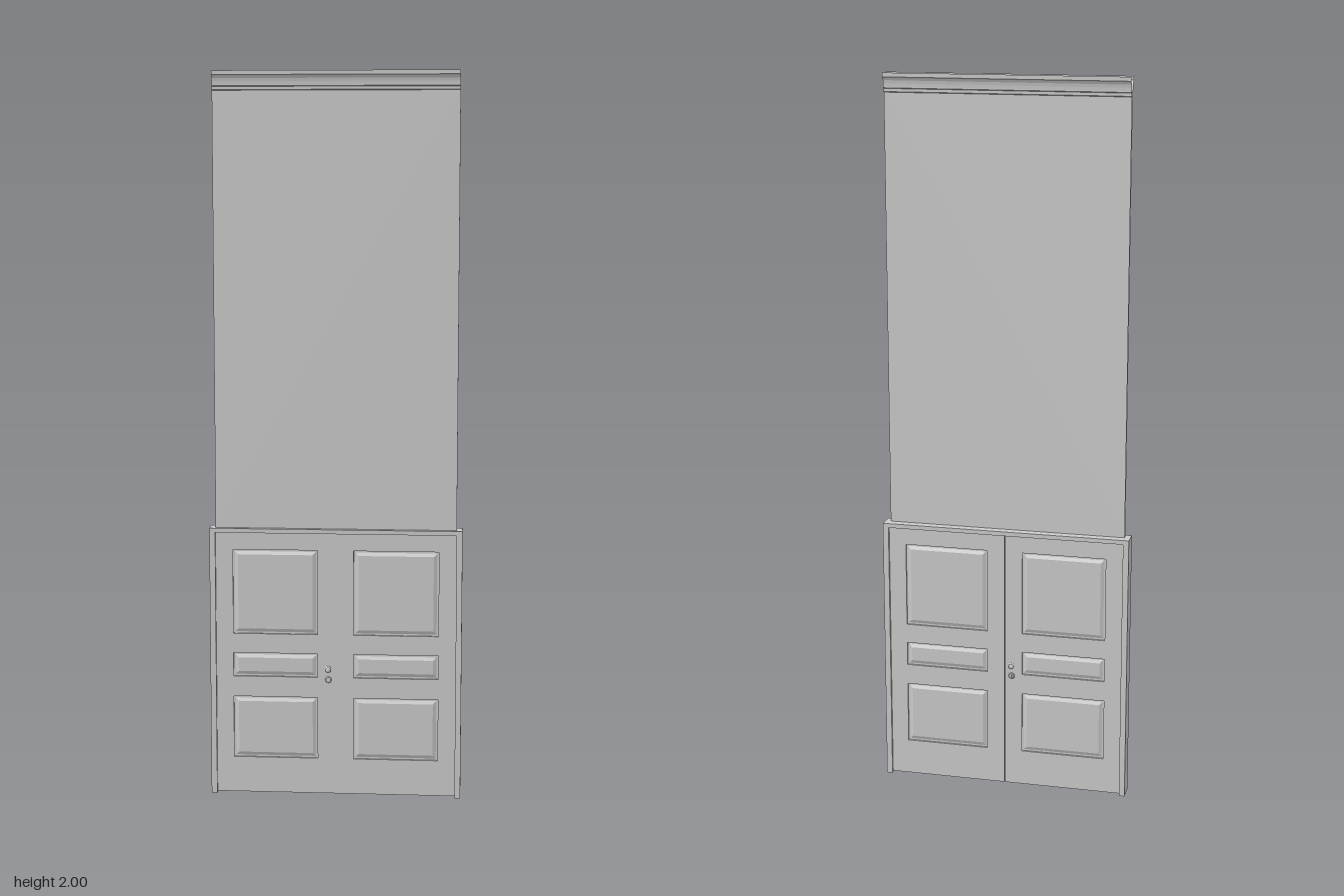
import * as THREE from 'three';

const grey = new THREE.MeshStandardMaterial({ color: 0xcccccc });
const thin = new THREE.MeshStandardMaterial({ color: 0xcccccc, side: THREE.DoubleSide, flatShading: true });

const Z_BACK = -0.0265, Z_FRONT = 0.023;      // frame depth
const DOOR_BACK = -0.019, DOOR_FRONT = 0.015; // leaf depth
const OPEN_X = 0.333, OPEN_Y = 0.746;         // door opening

function add(parent, name, geometry, material = grey) {
  const mesh = new THREE.Mesh(geometry, material);
  mesh.name = name;
  parent.add(mesh);
  return mesh;
}

function rectangle(Type, x0, y0, x1, y1) {
  const r = new Type();
  r.moveTo(x0, y0);
  r.lineTo(x1, y0);
  r.lineTo(x1, y1);
  r.lineTo(x0, y1);
  r.closePath();
  return r;
}

// Surround: two jambs and a header in one extrusion
function frame() {
  const s = new THREE.Shape();
  [[-0.349, 0], [-OPEN_X, 0], [-OPEN_X, OPEN_Y], [OPEN_X, OPEN_Y], [OPEN_X, 0],
    [0.349, 0], [0.349, 0.758], [-0.349, 0.758]].forEach(([x, y], i) => (i ? s.lineTo(x, y) : s.moveTo(x, y)));
  const g = new THREE.ExtrudeGeometry(s, { depth: Z_FRONT - Z_BACK, bevelEnabled: false });
  return g.translate(0, 0, Z_BACK);
}

// Open sheet swept across x from a [z, y] profile
function sheet(profile) {
  const pos = [], index = [];
  profile.forEach(([z, y], i) => {
    pos.push(-OPEN_X, y, z, OPEN_X, y, z);
    if (i) {
      const a = 2 * i - 2;
      index.push(a, a + 1, a + 3, a, a + 3, a + 2);
    }
  });
  const g = new THREE.BufferGeometry();
  g.setAttribute('position', new THREE.Float32BufferAttribute(pos, 3));
  g.setIndex(index);
  g.computeVertexNormals();
  return g;
}

// One leaf: stiles and rails around three raised panels
function leaf(side) {
  const group = new THREE.Group();
  const rows = [[0.105, 0.28], [0.338, 0.405], [0.46, 0.698]];
  const xa = side > 0 ? 0.05 : -0.285, xb = xa + 0.235;
  const inner = 0.001 * side, outer = OPEN_X * side;
  const s = rectangle(THREE.Shape, Math.min(inner, outer), 0.004, Math.max(inner, outer), OPEN_Y);
  rows.forEach(([y0, y1]) => s.holes.push(rectangle(THREE.Path, xa, y0, xb, y1)));
  const body = new THREE.ExtrudeGeometry(s, { depth: DOOR_FRONT - DOOR_BACK, bevelEnabled: false });
  add(group, 'stilesAndRails', body.translate(0, 0, DOOR_BACK));

  const mid = (DOOR_FRONT + DOOR_BACK) / 2;
  rows.forEach(([y0, y1]) => {
    const base = new THREE.BoxGeometry(xb - xa, y1 - y0, 0.024);
    add(group, 'panelBase', base.translate((xa + xb) / 2, (y0 + y1) / 2, mid));
    // Raised field with sloping edges on both faces
    const m = 0.014;
    const field = new THREE.ExtrudeGeometry(rectangle(THREE.Shape, xa + m, y0 + m, xb - m, y1 - m), {
      depth: 0.024, bevelEnabled: true, bevelThickness: 0.004, bevelSize: 0.009, bevelSegments: 1,
    });
    add(group, 'panelField', field.translate(0, 0, mid - 0.012));
  });
  return group;
}

// Round knob with a rose, and a lock rose below it; built along +z
function handle() {
  const group = new THREE.Group();
  const points = [[0, 0], [0.009, 0], [0.009, 0.002], [0.004, 0.003], [0.0035, 0.006],
    [0.007, 0.008], [0.0075, 0.010], [0.005, 0.0125], [0, 0.013]].map(([r, h]) => new THREE.Vector2(r, h));
  const knob = new THREE.LatheGeometry(points, 20);
  add(group, 'doorKnob', knob.rotateX(Math.PI / 2)).position.y = 0.362;

  const rose = new THREE.CylinderGeometry(0.007, 0.009, 0.003, 20);
  add(group, 'lockRose', rose.rotateX(Math.PI / 2)).position.set(0, 0.332, 0.0015);
  const key = new THREE.BoxGeometry(0.002, 0.008, 0.002);
  add(group, 'lockSlot', key).position.set(0, 0.332, 0.0035);
  return group;
}

export function createModel() {
  const model = new THREE.Group();
  model.name = 'panelledDoubleDoor';

  add(model, 'doorFrame', frame());

  for (const side of [-1, 1]) {
    const door = leaf(side);
    door.name = side > 0 ? 'leftLeaf' : 'rightLeaf';
    model.add(door);
  }
  // Rebate closing the seam from the front
  const rebate = new THREE.BoxGeometry(0.002, OPEN_Y - 0.004, 0.02);
  add(model, 'meetingRebate', rebate).position.set(0, (OPEN_Y + 0.004) / 2, DOOR_FRONT - 0.01);

  const frontHandle = handle();
  frontHandle.name = 'frontHandle';
  frontHandle.position.set(-0.02, 0, DOOR_FRONT);
  const backHandle = handle();
  backHandle.name = 'backHandle';
  backHandle.rotation.y = Math.PI;
  backHandle.position.set(-0.02, 0, DOOR_BACK + 0.004);
  backHandle.position.z = DOOR_BACK;
  backHandle.scale.z = 0.75;
  model.add(frontHandle, backHandle);

  // Wall skins above the door, each with a cornice flaring outwards: [out, y]
  const cornice = [[0, 1.948], [0.003, 1.95], [0.003, 1.958], [0.005, 1.96], [0.005, 1.964],
    [0.0055, 1.972], [0.007, 1.98], [0.010, 1.986], [0.0135, 1.989], [0.0135, 2]];
  for (const [name, z, dir] of [['front', 0.0085, 1], ['back', -0.0015, -1]]) {
    add(model, name + 'Wall', sheet([[z, 0.757], [z, 1.948]]), thin);
    add(model, name + 'Cornice', sheet(cornice.map(([out, y]) => [z + dir * out, y])), thin);
  }
  return model;
}
